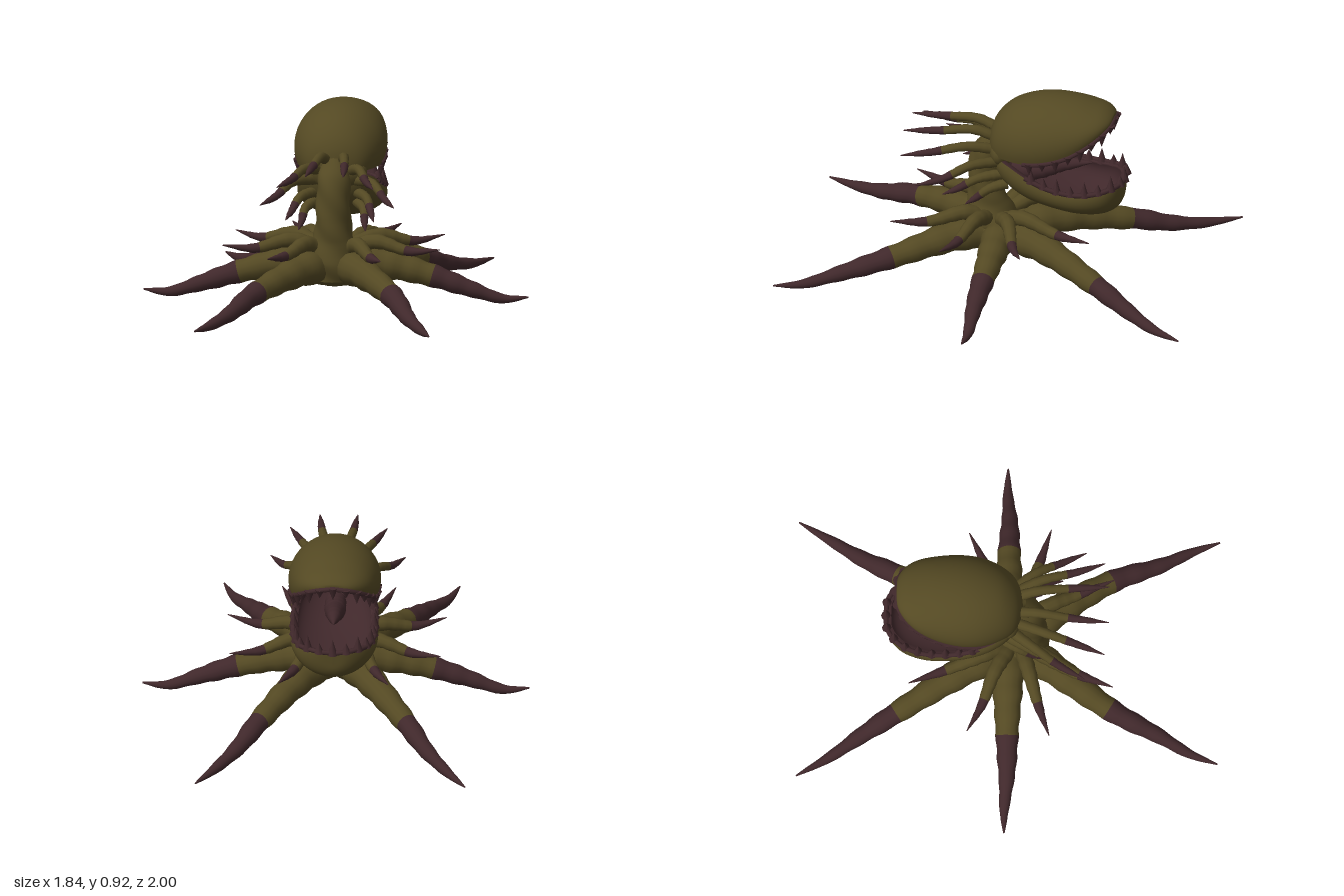
import * as THREE from 'three';

const V = (p) => new THREE.Vector3(...p);

export function createModel() {
  const model = new THREE.Group();
  const olive = new THREE.MeshStandardMaterial({ color: 0x544923, side: THREE.DoubleSide });
  olive.name = 'olive skin';
  const dark = new THREE.MeshStandardMaterial({ color: 0x40282b, side: THREE.DoubleSide });
  dark.name = 'dark maroon';

  function add(name, geometry, material, parent = model) {
    const mesh = new THREE.Mesh(geometry, material);
    mesh.name = name;
    parent.add(mesh);
    return mesh;
  }

  // Skin a list of point rows; closed rows wrap around
  function loft(rows, closed, flip = false) {
    const n = rows[0].length, index = [];
    for (let i = 0; i < rows.length - 1; i++) {
      for (let j = 0; j < (closed ? n : n - 1); j++) {
        const a = i * n + j, b = i * n + (j + 1) % n, c = a + n, d = b + n;
        if (flip) index.push(a, c, b, b, c, d);
        else index.push(a, b, c, b, d, c);
      }
    }
    const g = new THREE.BufferGeometry().setFromPoints(rows.flat());
    g.setIndex(index);
    g.computeVertexNormals();
    return g;
  }

  // Tapered limb along a curve: olive up to `split`, dark beyond it
  function limb(name, points, radii, split, { steps = 40, sides = 14, bump = 0.05, twist = 0 } = {}) {
    const curve = new THREE.CatmullRomCurve3(points.map(V));
    const frames = curve.computeFrenetFrames(steps);
    const rows = [];
    for (let i = 0; i <= steps; i++) {
      const u = i / steps, f = u * (radii.length - 1);
      const k = Math.min(Math.floor(f), radii.length - 2);
      const r = THREE.MathUtils.lerp(radii[k], radii[k + 1], f - k);
      const c = curve.getPointAt(u), row = [];
      for (let j = 0; j < sides; j++) {
        const a = j / sides * Math.PI * 2;
        const wave = twist ? Math.sin(3 * a + twist * u) : Math.sin(u * 55);
        const rr = r * (1 + bump * wave);
        row.push(c.clone()
          .addScaledVector(frames.normals[i], Math.cos(a) * rr)
          .addScaledVector(frames.binormals[i], Math.sin(a) * rr));
      }
      rows.push(row);
    }
    const g = loft(rows, true);
    const cut = Math.round(split * steps) * sides * 6;
    g.addGroup(0, cut, 0);
    g.addGroup(cut, steps * sides * 6 - cut, 1);
    return add(name, g, [olive, dark]);
  }

  // Body hub and twisted neck
  const hub = add('body', new THREE.SphereGeometry(1, 28, 18), olive);
  hub.scale.set(0.15, 0.1, 0.14);
  hub.position.set(0, 0.195, 0.04);
  limb('neck', [[0, 0.16, 0.05], [0, 0.3, 0.08], [0, 0.45, 0.1], [0, 0.58, 0.09], [0, 0.69, 0.03]],
    [0.13, 0.125, 0.095, 0.083, 0.08, 0.078, 0.06], 1, { sides: 24, twist: 22 });

  const legRadii = [0.085, 0.08, 0.07, 0.06, 0.053, 0.045, 0.033, 0.022, 0.004];
  const armRadii = [0.035, 0.038, 0.036, 0.03, 0.024, 0.014, 0.002];
  const tendrilRadii = [0.026, 0.025, 0.022, 0.02, 0.015, 0.002];
  for (const [side, s] of [['left', 1], ['right', -1]]) {
    const m = (pts) => pts.map(([x, y, z]) => [x * s, y, z]);
    // Six walking legs
    limb(side + 'FrontLeg', m([[0.03, 0.19, 0.05], [0.13, 0.2, 0.2], [0.33, 0.135, 0.5],
      [0.43, 0.075, 0.72], [0.51, 0.045, 0.87], [0.56, 0.045, 1]]), legRadii, 0.475);
    limb(side + 'MiddleLeg', m([[0.04, 0.2, 0], [0.2, 0.205, 0], [0.45, 0.15, 0],
      [0.65, 0.085, 0], [0.8, 0.04, -0.01], [0.92, 0.05, -0.01]]), legRadii, 0.475);
    limb(side + 'BackLeg', m([[0.03, 0.19, 0], [0.15, 0.2, -0.2], [0.35, 0.13, -0.53],
      [0.45, 0.075, -0.7], [0.55, 0.045, -0.85], [0.64, 0.045, -1]]), legRadii, 0.525);

    // Short arms above the legs
    const arms = [
      [[0.05, 0.27, 0.08], [0.12, 0.32, 0.17], [0.2, 0.29, 0.33], [0.27, 0.305, 0.5]],
      [[0.05, 0.27, 0.06], [0.2, 0.325, 0.1], [0.37, 0.29, 0.15], [0.52, 0.31, 0.2]],
      [[0.05, 0.27, 0.02], [0.2, 0.325, -0.06], [0.36, 0.29, -0.12], [0.5, 0.31, -0.19]],
      [[0.05, 0.27, 0], [0.12, 0.32, -0.12], [0.19, 0.29, -0.3], [0.26, 0.305, -0.47]],
    ];
    arms.forEach((p, i) => limb(side + 'Arm' + (i + 1), m(p), armRadii, 0.64, { steps: 28, sides: 10 }));

    // Tendrils behind the head
    const tendrils = [
      [[0.035, 0.69, 0.02], [0.055, 0.735, 0.14], [0.075, 0.72, 0.3], [0.09, 0.705, 0.48]],
      [[0.07, 0.65, 0.02], [0.13, 0.68, 0.16], [0.18, 0.655, 0.32], [0.23, 0.645, 0.46]],
      [[0.09, 0.6, 0.0], [0.19, 0.61, 0.13], [0.26, 0.56, 0.25], [0.32, 0.54, 0.37]],
      [[0.1, 0.54, -0.01], [0.16, 0.53, 0.1], [0.19, 0.48, 0.19], [0.21, 0.45, 0.26]],
      [[0.1, 0.49, -0.03], [0.14, 0.47, 0.05], [0.15, 0.42, 0.11], [0.16, 0.385, 0.16]],
    ];
    tendrils.forEach((p, i) => limb(side + 'Tendril' + (i + 1), m(p), tendrilRadii, 0.6,
      { steps: 24, sides: 10 }));
  }

  // A jaw from stations [z, half width, rim height, crown height]
  function jaw(name, stations, upper, teeth) {
    const group = new THREE.Group();
    group.name = name;
    model.add(group);
    const plan = new THREE.CatmullRomCurve3(stations.map(([z, w]) => V([w, 0, z])));
    const side = new THREE.CatmullRomCurve3(stations.map(([z, , rim, crown]) => V([rim, crown, z])));
    const steps = 44, arcs = 28, a0 = -Math.asin(1 / 3);
    const arc = (w, rim, crown, z) => {
      const cy = rim + (crown - rim) / 4;
      return Array.from({ length: arcs + 1 }, (_, j) => {
        const a = a0 + (Math.PI - 2 * a0) * j / arcs;
        return V([w * Math.cos(a), cy + (crown - cy) * Math.sin(a), z]);
      });
    };
    const outer = [], inner = [], edge = [];
    for (let i = 0; i <= steps; i++) {
      const t = i / steps, p = plan.getPoint(t), q = side.getPoint(t);
      const w = Math.max(p.x, 0.0005), row = arc(w, q.x, q.y, p.z);
      const lining = arc(w * 0.88, q.x, q.x + (q.y - q.x) * 0.86, -0.23 + (p.z + 0.23) * 0.93);
      outer.push(row);
      inner.push([row[0], ...lining, row[arcs]]);
      if (p.z < -0.12) edge.push(row[0].clone());
    }
    add(name + 'Shell', loft(outer, false, upper), olive, group);
    add(name + 'Lining', loft(inner, false, !upper), dark, group);

    // Gum line around the open end, with a row of teeth
    const mirrored = edge.slice(0, -1).reverse().map((p) => V([-p.x, p.y, p.z]));
    const gum = new THREE.CatmullRomCurve3([...edge, ...mirrored]);
    add(name + 'Gum', new THREE.TubeGeometry(gum, 80, 0.012, 8), dark, group);
    for (let i = 0; i < teeth; i++) {
      const p = gum.getPointAt((i + 0.5) / teeth);
      const h = (i % 2 ? 0.055 : 0.08) * (upper ? 0.85 : 1);
      const tooth = add(name + 'Tooth' + (i + 1), new THREE.ConeGeometry(0.024, h, 8), dark, group);
      tooth.position.set(p.x * 0.97, p.y + (upper ? -0.4 : 0.4) * h, p.z);
      tooth.rotation.x = upper ? Math.PI : 0;
    }
  }

  jaw('upperJaw', [[0.07, 0, 0.68, 0.7], [0.06, 0.07, 0.66, 0.76], [0.03, 0.13, 0.65, 0.82],
    [-0.03, 0.175, 0.65, 0.88], [-0.12, 0.21, 0.655, 0.92], [-0.22, 0.22, 0.67, 0.938],
    [-0.34, 0.205, 0.71, 0.935], [-0.43, 0.175, 0.765, 0.918], [-0.49, 0.13, 0.81, 0.9],
    [-0.525, 0.07, 0.84, 0.875], [-0.53, 0, 0.85, 0.86]], true, 17);
  jaw('lowerJaw', [[0.05, 0, 0.62, 0.6], [0.04, 0.07, 0.64, 0.56], [0.01, 0.13, 0.63, 0.5],
    [-0.06, 0.175, 0.61, 0.445], [-0.15, 0.2, 0.57, 0.405], [-0.27, 0.21, 0.53, 0.38],
    [-0.4, 0.2, 0.515, 0.36], [-0.5, 0.165, 0.525, 0.365], [-0.55, 0.12, 0.535, 0.39],
    [-0.575, 0.07, 0.535, 0.43], [-0.58, 0, 0.53, 0.48]], false, 17);

  // Hinge joining the jaws, and the tongue
  const hinge = add('jawHinge', new THREE.SphereGeometry(1, 24, 16), olive);
  hinge.scale.set(0.15, 0.09, 0.065);
  hinge.position.set(0, 0.645, 0.005);
  limb('tongue', [[0, 0.52, -0.04], [0, 0.53, -0.15], [0, 0.575, -0.28], [0, 0.6, -0.42]],
    [0.05, 0.05, 0.042, 0.03, 0.003], 0, { steps: 24 });

  return model;
}
